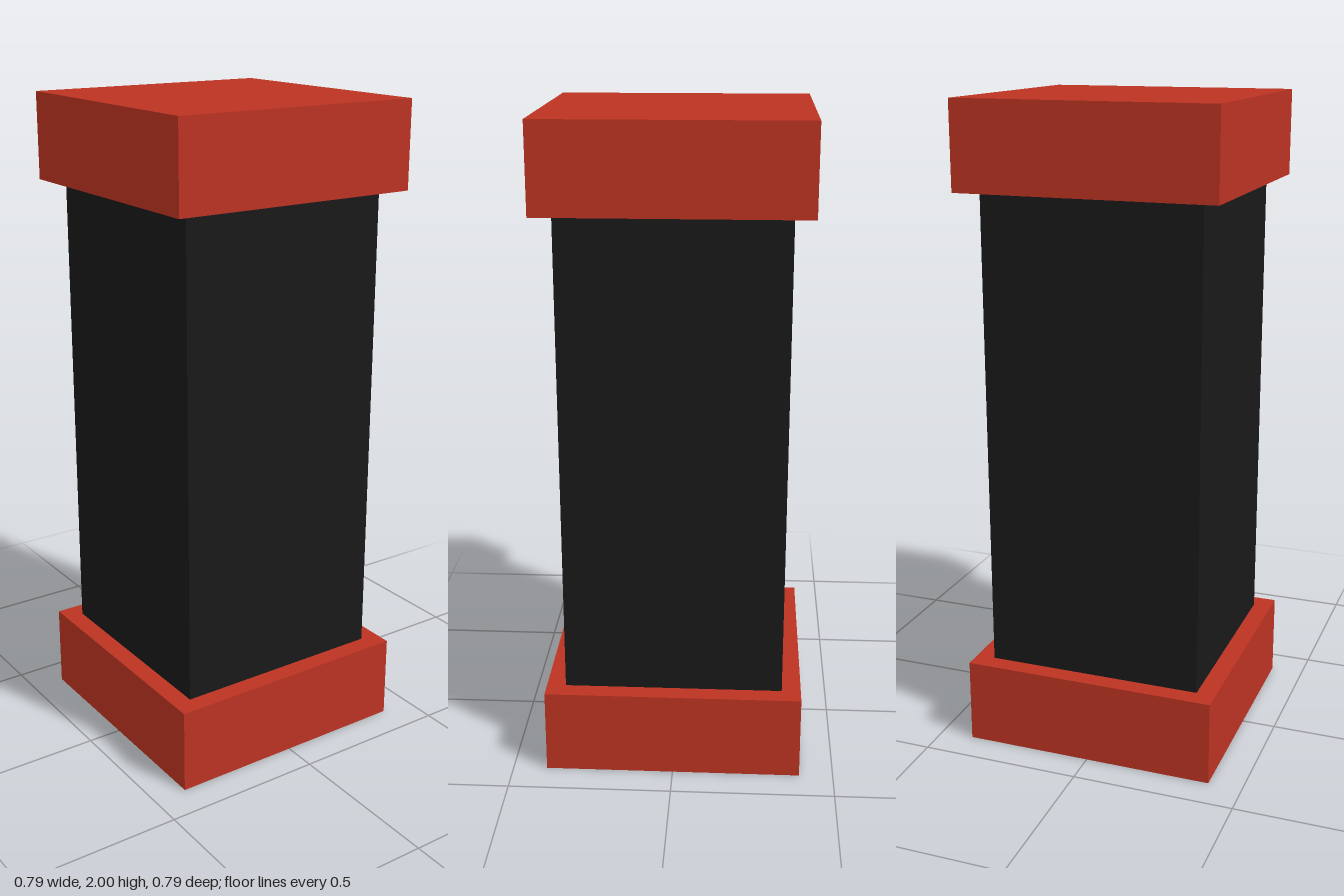
import * as THREE from 'three';

const HEIGHT = 2;
const CAP = { width: 0.79, height: 0.263 };
const SHAFT_WIDTH = 0.672;

export function createModel() {
  const group = new THREE.Group();
  group.name = 'pillar';

  const red = new THREE.MeshStandardMaterial({ color: 0xbb3322 });
  const black = new THREE.MeshStandardMaterial({ color: 0x191919 });

  // Square block centred on the y axis, resting at the given height
  const addBlock = (name, width, height, bottom, material) => {
    const mesh = new THREE.Mesh(new THREE.BoxGeometry(width, height, width), material);
    mesh.name = name;
    mesh.position.y = bottom + height / 2;
    group.add(mesh);
  };

  // Matching base and capital with a slimmer shaft between them
  addBlock('base', CAP.width, CAP.height, 0, red);
  addBlock('shaft', SHAFT_WIDTH, HEIGHT - 2 * CAP.height, CAP.height, black);
  addBlock('capital', CAP.width, CAP.height, HEIGHT - CAP.height, red);

  return group;
}
